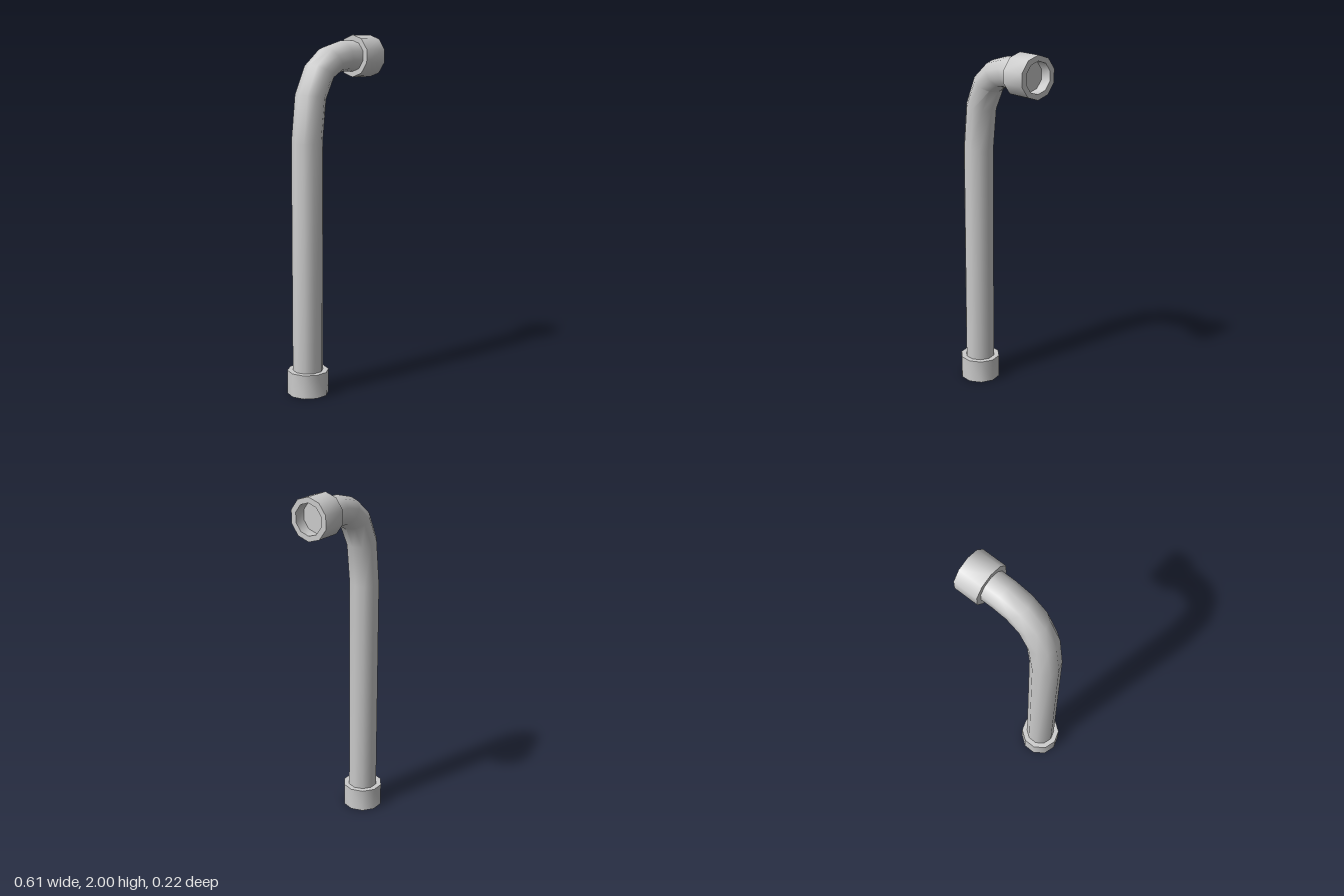
import * as THREE from 'three';
import { toCreasedNormals } from 'three/addons/utils/BufferGeometryUtils.js';

const SIDES = 10;
const PIPE_R = 0.086;
const COLLAR_R = 0.117;
const COLLAR_LENGTH = 0.135;
const SOCKET_DEPTH = 0.065;
const CREASE = 0.75;

const material = new THREE.MeshStandardMaterial({ color: 0xcccccc });

// Closed tube lofted through rings of [x, y, tilt in degrees]
function loftPipe(rings) {
  const positions = [];
  const index = [];
  for (const [x, y, tilt] of rings) {
    const a = THREE.MathUtils.degToRad(tilt);
    for (let i = 0; i < SIDES; i++) {
      const t = (i / SIDES) * Math.PI * 2;
      const u = Math.cos(t) * PIPE_R;
      positions.push(x + u * Math.cos(a), y - u * Math.sin(a), Math.sin(t) * PIPE_R);
    }
  }
  const last = (rings.length - 1) * SIDES;
  const startCentre = positions.length / 3;
  positions.push(rings[0][0], rings[0][1], 0);
  positions.push(rings.at(-1)[0], rings.at(-1)[1], 0);
  for (let i = 0; i < SIDES; i++) {
    const j = (i + 1) % SIDES;
    for (let k = 0; k < last; k += SIDES) {
      const a = k + i, b = k + j, c = b + SIDES, d = a + SIDES;
      index.push(a, d, b, b, d, c);
    }
    // End caps, which form the floors of the sockets
    index.push(startCentre, i, j, startCentre + 1, last + j, last + i);
  }
  const geometry = new THREE.BufferGeometry();
  geometry.setAttribute('position', new THREE.Float32BufferAttribute(positions, 3));
  geometry.setIndex(index);
  return toCreasedNormals(geometry, CREASE);
}

// Hollow collar with its open mouth at y = 0
function makeCollar(name, length) {
  const profile = [
    [PIPE_R, SOCKET_DEPTH],
    [PIPE_R, 0],
    [COLLAR_R, 0],
    [COLLAR_R, length],
    [PIPE_R - 0.01, length],
  ].map(([r, y]) => new THREE.Vector2(r, y));
  const geometry = new THREE.LatheGeometry(profile, SIDES, Math.PI / 2);
  const mesh = new THREE.Mesh(toCreasedNormals(geometry, CREASE), material);
  mesh.name = name;
  return mesh;
}

export function createModel() {
  const group = new THREE.Group();
  group.name = 'bentPipe';

  // Upright, bend and short horizontal run
  const pipe = new THREE.Mesh(loftPipe([
    [-0.187, SOCKET_DEPTH, 0],
    [-0.187, 1.42, 0],
    [-0.16, 1.665, 10],
    [-0.095, 1.8, 27],
    [-0.01, 1.863, 53],
    [0.083, 1.883, 79],
    [0.16, 1.883, 90],
    [0.303 - SOCKET_DEPTH, 1.883, 90],
  ]), material);
  pipe.name = 'pipe';
  group.add(pipe);

  // Collar facing down at the foot
  const bottomCollar = makeCollar('bottomCollar', COLLAR_LENGTH);
  bottomCollar.position.set(-0.187, 0, 0);
  group.add(bottomCollar);

  // Collar facing sideways at the outlet
  const outletCollar = makeCollar('outletCollar', 0.143);
  outletCollar.rotation.z = Math.PI / 2;
  outletCollar.position.set(0.303, 1.883, 0);
  group.add(outletCollar);

  return group;
}
